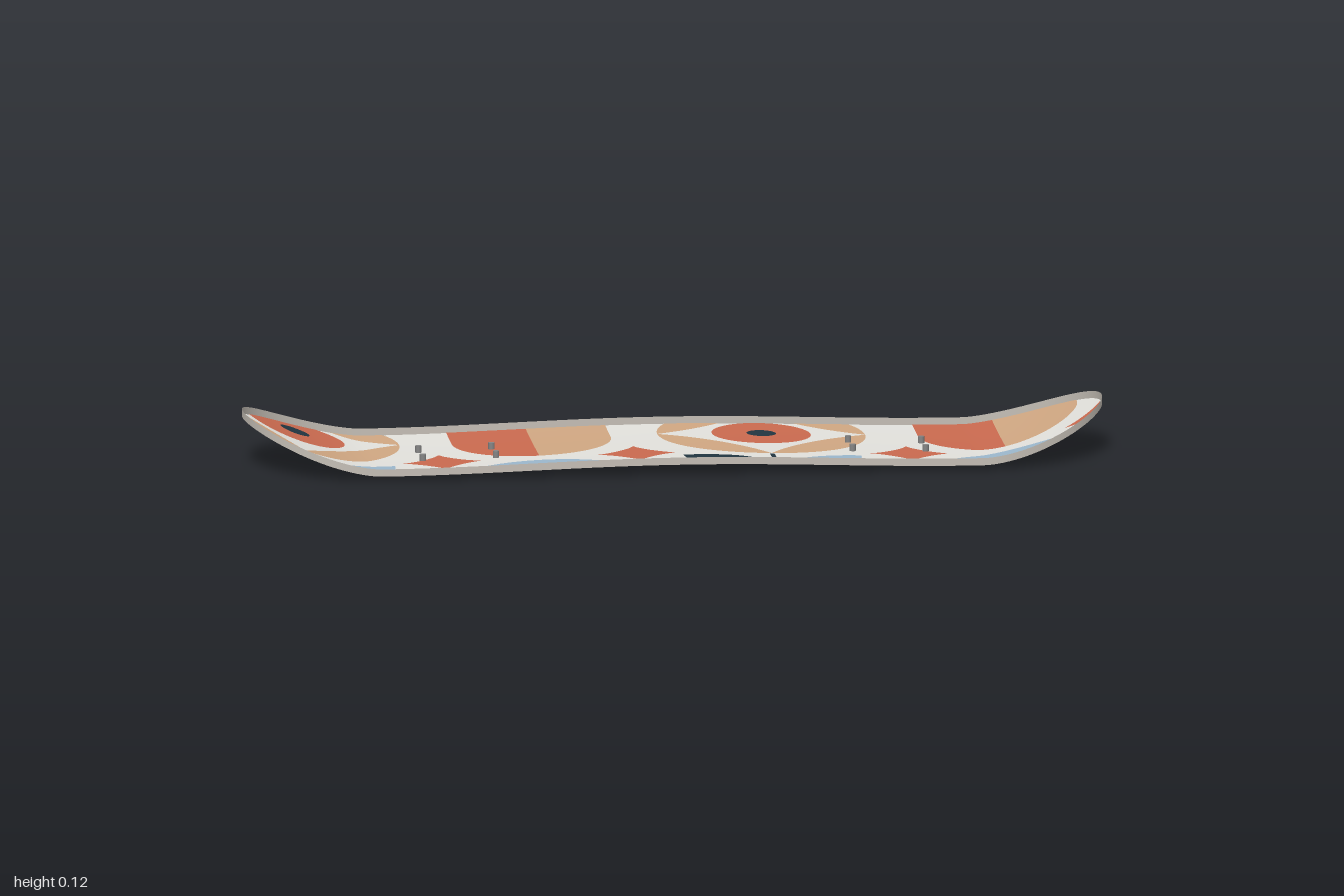
import * as THREE from 'three';

const mat = (name, color, side = THREE.FrontSide) => {
  const m = new THREE.MeshStandardMaterial({ color, side });
  m.name = name;
  return m;
};

const HALF_W = 0.255, RIM_H = 0.017, COLS = 160;

// half width of the deck at x: straight sides with elliptical ends
function halfWidth(x) {
  const e = Math.max(0, (Math.abs(x) - 0.71) / 0.29);
  return HALF_W * Math.sqrt(Math.max(0, 1 - e * e));
}

// deck height: cambered middle, upturned ends, slight concave across
function deckHeight(x, z) {
  const a = Math.abs(x);
  const camber = a < 0.7 ? 0.0075 * (1 + Math.cos(Math.PI * a / 0.7)) : 0;
  const kick = a > 0.7 ? 0.101 * ((a - 0.7) / 0.3) ** 1.6 : 0;
  return 0.007 + camber + kick + 0.004 * (z / HALF_W) ** 2;
}

function geometry(pos, idx) {
  const g = new THREE.BufferGeometry();
  g.setAttribute('position', new THREE.Float32BufferAttribute(pos, 3));
  g.setIndex(idx);
  g.computeVertexNormals();
  return g;
}

// sheet following the deck, raised by lift; span(x) gives [zMin, zMax]
function sheet(x0, x1, span, lift, cols) {
  const rows = 8, pos = [], idx = [], widths = [];
  x0 = Math.max(x0, -1);
  x1 = Math.min(x1, 1);
  for (let i = 0; i <= cols; i++) {
    const x = (x0 + x1) / 2 + (x1 - x0) / 2 * Math.sin(Math.PI * (i / cols - 0.5));
    const w = halfWidth(x);
    const [lo, hi] = span(x).map(z => Math.min(w, Math.max(-w, z)));
    widths.push(Math.max(0, hi - lo));
    for (let j = 0; j <= rows; j++) {
      const z = lo + widths[i] * j / rows;
      pos.push(x, deckHeight(x, z) + lift, z);
    }
  }
  const n = rows + 1;
  for (let i = 0; i < cols; i++) {
    if (widths[i] + widths[i + 1] < 1e-6) continue;
    for (let j = 0; j < rows; j++) {
      const a = i * n + j, b = a + 1, c = a + n, d = c + 1;
      if (lift >= 0) idx.push(a, b, c, b, d, c);
      else idx.push(a, c, b, b, c, d);
    }
  }
  return geometry(pos, idx);
}

// thin upright wall following the outline
function rimGeometry() {
  const pts = [], pos = [], idx = [];
  for (let i = 0; i < COLS * 2; i++) {
    const sign = i < COLS ? 1 : -1;
    const x = sign * Math.sin(Math.PI * ((i % COLS) / COLS - 0.5));
    pts.push([x, sign * halfWidth(x)]);
  }
  pts.forEach(([x, z], i) => {
    const y = deckHeight(x, z), n = (i + 1) % pts.length;
    pos.push(x, y, z, x, y + RIM_H, z);
    idx.push(2 * i, 2 * n, 2 * n + 1, 2 * i, 2 * n + 1, 2 * i + 1);
  });
  return geometry(pos, idx);
}

export function createModel() {
  const root = new THREE.Group();
  root.name = 'skateboardDeck';
  const cream = mat('cream', 0xe2e1dc, THREE.DoubleSide), red = mat('terracotta', 0xca6a4f);
  const tan = mat('tan', 0xd0a782), blue = mat('softBlue', 0x9bb7cc);
  const navy = mat('navy', 0x213541), edge = mat('edgeGrey', 0xc4beb5, THREE.DoubleSide);
  const steel = mat('steel', 0x858585);

  const add = (name, geo, m, parent = root) => {
    const mesh = new THREE.Mesh(geo, m);
    mesh.name = name;
    parent.add(mesh);
    return mesh;
  };

  // deck panel with its raised rim
  add('deckPanel', sheet(-1, 1, x => [-halfWidth(x), halfWidth(x)], 0, COLS), cream);
  add('deckRim', rimGeometry(), edge);

  // painted motif, repeated on both faces
  const paint = (name, m, x0, x1, span, layer = 1) => {
    const group = new THREE.Group();
    group.name = name;
    root.add(group);
    add(name + 'Top', sheet(x0, x1, span, layer * 0.0007, 48), m, group);
    add(name + 'Under', sheet(x0, x1, span, -layer * 0.0007, 48), m, group);
  };
  const arc = (r, d) => Math.sqrt(Math.max(0, r * r - d * d));
  const disc = (name, m, cx, cz, r, layer) =>
    paint(name, m, cx - r, cx + r, x => [cz - arc(r, x - cx), cz + arc(r, x - cx)], layer);

  // flowers: round eye with four petals, plus a sprout below
  [[-0.863, 0.024, 0.215], [0.222, 0.011, 0.26]].forEach(([cx, stemW, stemEnd]) => {
    const cz = -0.142, R = 0.242, L = 0.207;
    disc('flowerDisc', red, cx, cz, 0.115, 1);
    disc('flowerCentre', navy, cx, cz, 0.034, 2);
    for (const sx of [-1, 1]) {
      const x0 = sx > 0 ? cx : cx - R;
      for (const sz of [-1, 1]) {
        paint('petal', tan, x0, x0 + R, x => {
          const d = Math.abs(x - cx);
          const inner = cz + sz * (0.46 - arc(0.509, 0.46 - d));
          const outer = cz + sz * arc(R, d);
          return sz > 0 ? [inner, outer] : [outer, inner];
        });
      }
      const bend = sx < 0 ? 4 : 2.5;
      paint('leaf', sx < 0 ? navy : blue, sx > 0 ? cx : cx - L, sx > 0 ? cx + L : cx, x => {
        const d = Math.min(L, Math.abs(x - cx));
        return [0.115 + 0.12 * (1 - d / L) ** bend, 0.115 + 0.14 * Math.sqrt((L - d) / 0.042)];
      });
    }
    paint('stem', navy, cx - stemW / 2, cx + stemW / 2, () => [0.108, stemEnd], 2);
  });

  // two-tone arches and half discs
  for (const cx of [-0.315, 0.77]) {
    const r = 0.185;
    const arch = x => [-1, -0.125 + arc(r, x - cx)];
    paint('archLeftHalf', red, cx - r, cx, arch);
    paint('archRightHalf', tan, cx, cx + r, arch);
    disc('blueHalfDisc', blue, cx, 0.331, 0.216, 1);
  }

  // concave diamonds
  for (const cx of [-0.543, -0.09, 0.545, 0.995]) {
    const r = 0.092, cz = 0.086, p = 0.78;
    paint('diamond', red, cx - r, cx + r, x => {
      const h = r * Math.max(0, 1 - (Math.abs(x - cx) / r) ** p) ** (1 / p);
      return [cz - h, cz + h];
    });
  }

  // mounting bolts: standing heads with thin tips below
  const headGeo = new THREE.CylinderGeometry(0.0075, 0.0075, 0.016, 12);
  const tipGeo = new THREE.CylinderGeometry(0.003, 0.003, 0.01, 8);
  for (const x of [-0.585, -0.415, 0.415, 0.585])
    for (const z of [-0.052, 0.052]) {
      const y = deckHeight(x, z);
      add('boltHead', headGeo, steel).position.set(x, y + 0.008, z);
      add('boltTip', tipGeo, steel).position.set(x, y - 0.003, z);
    }

  return root;
}
